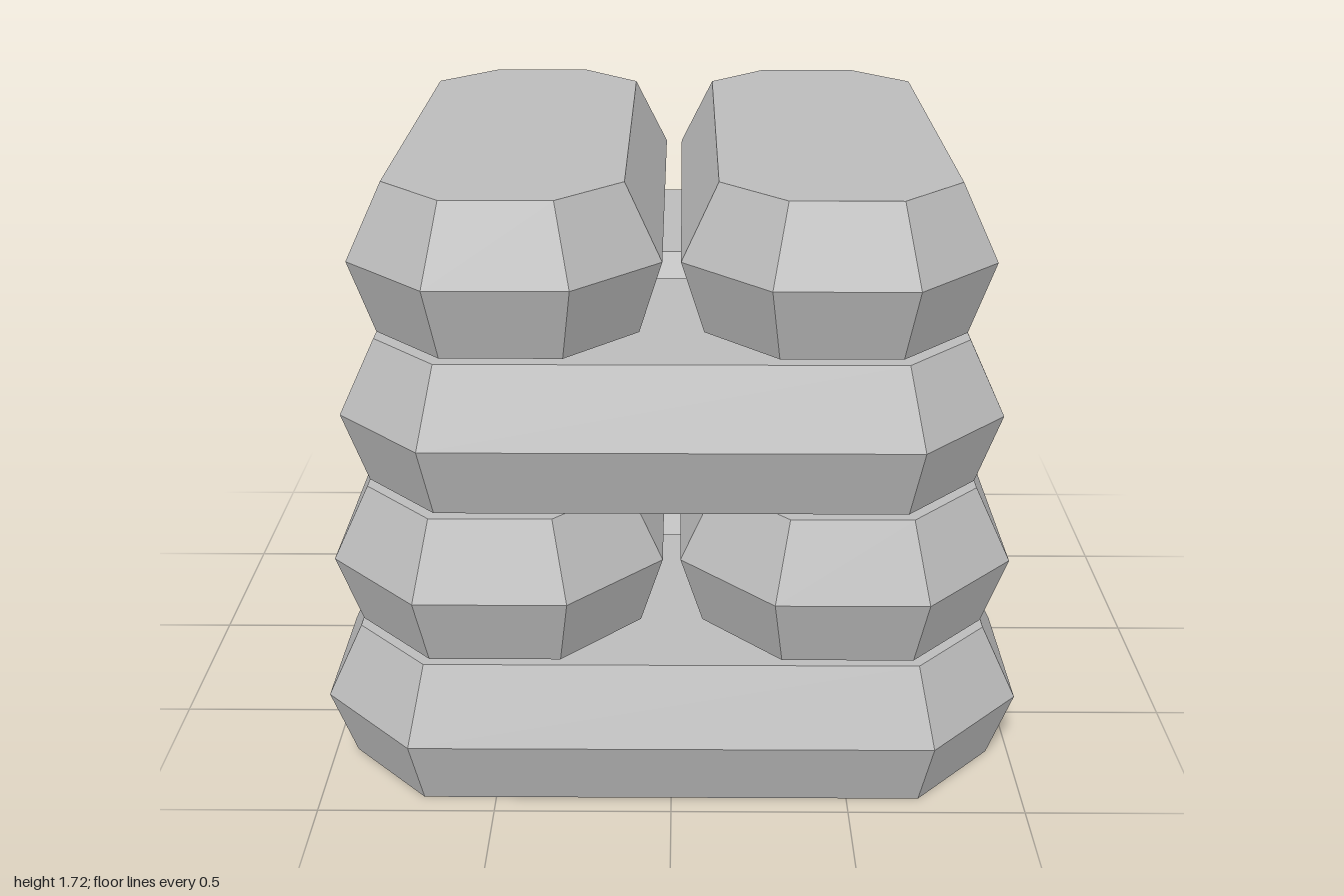
import * as THREE from 'three';

// Octagon outline of a log lying along z, offset inwards by `inset`
function octagon(halfW, halfL, chamfer, inset, y) {
  const w = halfW - inset, l = halfL - inset;
  const c = chamfer - inset * 0.586; // keeps the chamfer faces parallel
  return [
    [w, l - c], [w, c - l], [w - c, -l], [c - w, -l],
    [-w, c - l], [-w, l - c], [c - w, l], [w - c, l],
  ].map(([x, z]) => new THREE.Vector3(x, y, z));
}

// Faceted log: three stacked octagons with flat caps
function logGeometry(halfW, halfL, chamfer, height) {
  const rings = [
    octagon(halfW, halfL, chamfer, 0.064, 0),
    octagon(halfW, halfL, chamfer, 0, height / 2),
    octagon(halfW, halfL, chamfer, 0.1, height),
  ];
  const pts = [];
  for (let r = 0; r < 2; r++) {
    const a = rings[r], b = rings[r + 1];
    for (let i = 0; i < 8; i++) {
      const j = (i + 1) % 8;
      pts.push(a[i], a[j], b[j], a[i], b[j], b[i]);
    }
  }
  for (let i = 1; i < 7; i++) {
    pts.push(rings[2][0], rings[2][i], rings[2][i + 1]);
    pts.push(rings[0][0], rings[0][i + 1], rings[0][i]);
  }
  const geometry = new THREE.BufferGeometry().setFromPoints(pts);
  geometry.computeVertexNormals();
  return geometry;
}

export function createModel() {
  const group = new THREE.Group();
  group.name = 'logStack';
  const grey = new THREE.MeshStandardMaterial({ color: 0xbbbbbb });
  grey.name = 'grey';

  // Four layers of paired logs, alternating direction and shrinking upwards
  const gap = 0.025, height = 0.42, step = 0.434;
  [1, 0.957, 0.915, 0.872].forEach((reach, level) => {
    const layer = new THREE.Group();
    layer.name = `layer${level + 1}`;
    layer.position.y = level * step;
    if (level % 2 === 0) layer.rotation.y = Math.PI / 2;
    const geometry = logGeometry((reach - gap) / 2, reach, reach * 0.268, height);
    for (const side of [-1, 1]) {
      const log = new THREE.Mesh(geometry, grey);
      log.name = side < 0 ? 'firstLog' : 'secondLog';
      log.position.x = side * (reach + gap) / 2;
      layer.add(log);
    }
    group.add(layer);
  });
  return group;
}
